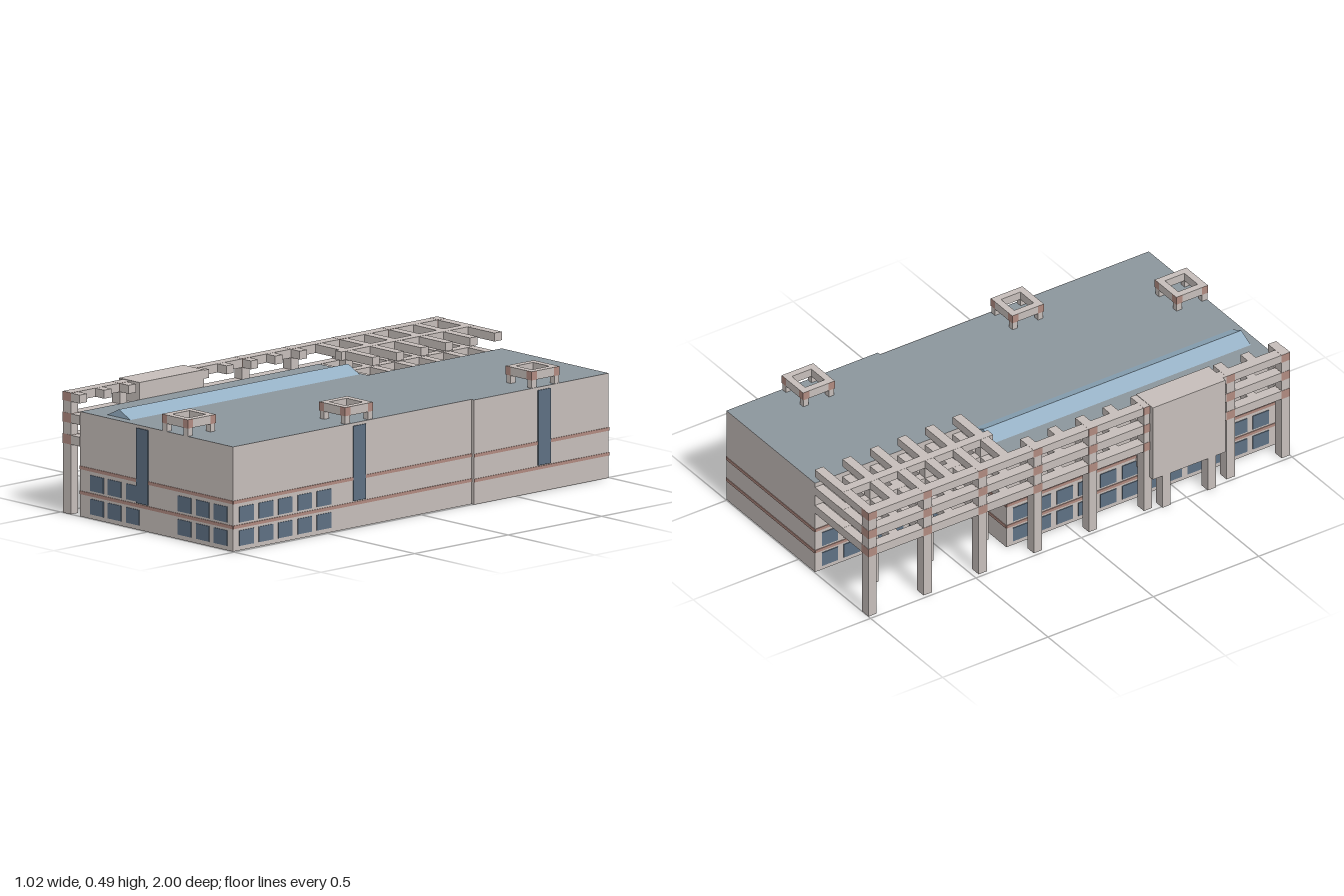
import * as THREE from 'three';

export function createModel() {
  const model = new THREE.Group();
  model.name = 'building';
  const mat = (name, color, side = THREE.FrontSide) => {
    const m = new THREE.MeshStandardMaterial({ color, side });
    m.name = name;
    return m;
  };
  const concrete = mat('concrete', 0xc6beba);
  const wall = mat('wall', 0xc6beba, THREE.DoubleSide);
  wall.color = concrete.color;
  const roof = mat('roof', 0x8c969d, THREE.DoubleSide);
  const glass = mat('window glass', 0x5e7083);
  const skylightGlass = mat('skylight glass', 0x95b0c4);
  const red = mat('terracotta', 0xb08a80);

  const group = (name) => {
    const g = new THREE.Group();
    g.name = name;
    model.add(g);
    return g;
  };
  // Box given by its extents
  const box = (parent, name, material, x0, x1, y0, y1, z0, z1) => {
    const mesh = new THREE.Mesh(new THREE.BoxGeometry(x1 - x0, y1 - y0, z1 - z0), material);
    mesh.position.set((x0 + x1) / 2, (y0 + y1) / 2, (z0 + z1) / 2);
    mesh.name = name;
    parent.add(mesh);
    return mesh;
  };
  // Joint with painted sides and plain top and bottom
  const jointMats = [red, red, concrete, concrete, red, red];

  const H = 0.42, T = 0.003;
  const front = { x0: -0.39, x1: 0.49, z0: -0.28, z1: 1 - T };
  const rear = { x0: -0.11, x1: 0.505, z0: -1 + T, z1: -0.278 };

  // Hollow blocks, open underneath
  const block = (name, b) => {
    const mesh = box(model, name, [wall, roof], b.x0, b.x1, 0, H, b.z0, b.z1);
    const g = mesh.geometry, idx = Array.from(g.index.array);
    idx.splice(18, 6);
    g.setIndex(idx);
    g.clearGroups();
    g.addGroup(0, 12, 0);
    g.addGroup(12, 6, 1);
    g.addGroup(18, 12, 0);
  };
  block('frontBlock', front);
  block('rearBlock', rear);

  // Stripes round the walls
  const stripes = group('stripes');
  for (const y of [0.09, 0.19]) {
    const s = (x0, x1, z0, z1) => box(stripes, 'stripe', red, x0, x1, y, y + 0.013, z0, z1);
    s(front.x0, front.x1, front.z1, front.z1 + T);
    s(front.x1, front.x1 + T, front.z0, front.z1);
    s(front.x0 - T, front.x0, front.z0, front.z1);
    s(front.x0, rear.x0, front.z0 - T, front.z0);
    s(rear.x0, rear.x1, rear.z0 - T, rear.z0);
    s(rear.x1, rear.x1 + T, rear.z0, rear.z1);
    s(rear.x0 - T, rear.x0, rear.z0, rear.z1);
  }

  // Windows in two rows
  const windows = group('windows');
  const W = 0.076;
  for (const [y0, y1] of [[0.018, 0.08], [0.112, 0.175]]) {
    for (const x of [-0.33, -0.228, -0.124, 0.175, 0.279, 0.382])
      box(windows, 'frontWindow', glass, x, x + W, y0, y1, front.z1, front.z1 + T);
    for (let i = 0; i < 5; i++) {
      const z = 0.474 + i * 0.1035;
      box(windows, 'rightWindow', glass, front.x1, front.x1 + T, y0, y1, z, z + W);
    }
    for (let i = 0; i < 12; i++) {
      const z = -0.25 + i * 0.1035;
      box(windows, 'leftWindow', glass, front.x0 - T, front.x0, y0, y1, z, z + W);
    }
    for (let i = 0; i < 6; i++) {
      const z = -0.965 + i * 0.1035;
      box(windows, 'rearLeftWindow', glass, rear.x0 - T, rear.x0, y0, y1, z, z + W);
    }
  }
  // Tall window strips
  box(windows, 'frontTallWindow', glass, -0.063, 0.003, 0.107, 0.408, front.z1, front.z1 + T * 1.5);
  box(windows, 'rightTallWindow', glass, front.x1, front.x1 + T * 1.5, 0.107, 0.408, 0.29, 0.357);
  box(windows, 'rearTallWindow', glass, rear.x1, rear.x1 + T * 1.5, 0.107, 0.408, -0.685, -0.617);

  // Ridge skylight
  const tri = new THREE.Shape([[-0.275, H], [-0.143, H], [-0.209, 0.452]].map((p) => new THREE.Vector2(...p)));
  const skylight = new THREE.Mesh(new THREE.ExtrudeGeometry(tri, { depth: 1.225, bevelEnabled: false }), skylightGlass);
  skylight.position.z = -0.267;
  skylight.name = 'skylight';
  model.add(skylight);

  // Square frames on the roof
  for (const [cx, cz] of [[0.157, 0.924], [0.412, 0.32], [0.43, -0.66]]) {
    const f = group('roofFrame');
    f.position.set(cx, 0, cz);
    const o = 0.075, n = 0.046;
    for (const s of [-1, 1]) {
      const a = s < 0 ? -o : n, b = s < 0 ? -n : o;
      box(f, 'frameBeam', concrete, -n, n, 0.452, 0.487, a, b);
      box(f, 'frameBeam', concrete, a, b, 0.452, 0.487, -n, n);
      for (const t of [-1, 1]) {
        const c = t < 0 ? -o : n, d = t < 0 ? -n : o;
        box(f, 'frameCorner', jointMats, a, b, 0.452, 0.487, c, d);
        box(f, 'frameLeg', concrete, a + 0.002, b - 0.002, H, 0.452, c + 0.002, d - 0.002);
      }
    }
  }

  // Pergola along the left side: rails and crossbeams at three levels
  const pergola = group('pergola');
  const levels = [[0.28, 0.318], [0.366, 0.404], [0.452, 0.487]];
  const beamZ = (i) => -0.98 + i * 0.1307;
  const xo = -0.485, xi = -0.44, h = 0.0195;
  for (const [y0, y1] of levels) {
    box(pergola, 'outerRail', concrete, xo, xi, y0, y1, -0.999, 0.999);
    box(pergola, 'innerRail', concrete, -0.305, -0.267, y0, y1, -0.999, -0.285);
    for (let i = 0; i < 16; i++) {
      const z = beamZ(i);
      box(pergola, 'crossbeam', concrete, xi, i < 6 ? -0.113 : front.x0, y0 + 0.0005, y1 - 0.0005, z - h, z + h);
    }
  }
  // Posts with painted joints
  for (const i of [0, 2, 4, 6, 8, 10, 13, 15]) {
    const z = beamZ(i);
    box(pergola, 'outerPost', concrete, xo, xi, 0, 0.486, z - h, z + h);
    for (const [y0, y1] of levels)
      box(pergola, 'postJoint', jointMats, xo - 0.001, xi + 0.001, y0, y1 + 0.0005, z - h - 0.001, z + h + 0.001);
  }
  for (const i of [1, 3, 5]) {
    const z = beamZ(i);
    box(pergola, 'innerPost', concrete, -0.305, -0.267, 0, 0.453, z - h, z + h);
  }

  // Projecting bay on the left with its own posts
  box(model, 'bay', concrete, -0.507, front.x0, 0.15, 0.489, 0.335, 0.68);
  for (const z of [0.4, 0.615])
    box(model, 'bayPost', concrete, -0.507, -0.462, 0, 0.15, z - h, z + h);

  return model;
}
